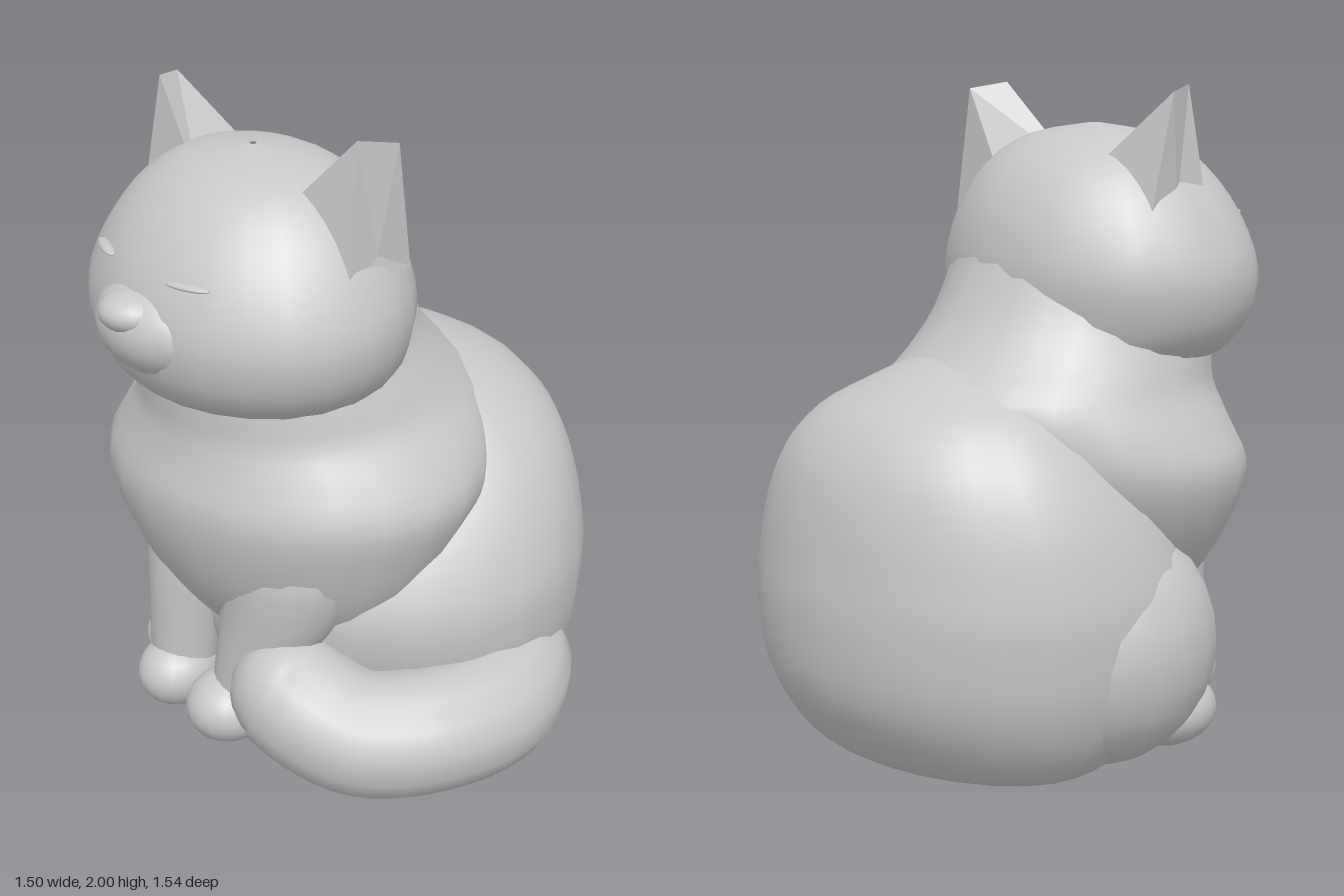
import * as THREE from 'three';

const fur = new THREE.MeshStandardMaterial({ color: 0xc8c8c8, side: THREE.DoubleSide });
fur.name = 'plain grey';

function add(parent, name, geometry, x = 0, y = 0, z = 0) {
  const mesh = new THREE.Mesh(geometry, fur);
  mesh.name = name;
  mesh.position.set(x, y, z);
  parent.add(mesh);
  return mesh;
}

// Smooth skin over elliptical rings given as [y, centreX, centreZ, halfWidth, halfDepth]
function loft(rings, seg = 24, steps = 3) {
  const at = (i) => rings[Math.min(Math.max(i, 0), rings.length - 1)];
  const rows = [];
  for (let i = 0; i < rings.length - 1; i++) {
    for (let s = 0; s < steps; s++) {
      const t = s / steps;
      rows.push(at(i).map((p1, k) => {
        const p0 = at(i - 1)[k], p2 = at(i + 1)[k], p3 = at(i + 2)[k];
        return p1 + 0.5 * t * (p2 - p0 + t * (2 * p0 - 5 * p1 + 4 * p2 - p3 + t * (3 * (p1 - p2) + p3 - p0)));
      }));
    }
  }
  rows.push(at(rings.length));
  const pos = [], index = [];
  rows.forEach(([y, cx, cz, a, b], i) => {
    for (let j = 0; j < seg; j++) {
      const t = (j / seg) * Math.PI * 2;
      pos.push(cx + Math.cos(t) * a, y, cz + Math.sin(t) * b);
      if (i === rows.length - 1) continue;
      const p = i * seg + j, q = i * seg + (j + 1) % seg;
      index.push(p, p + seg, q, q, p + seg, q + seg);
    }
  });
  const g = new THREE.BufferGeometry();
  g.setAttribute('position', new THREE.Float32BufferAttribute(pos, 3));
  g.setIndex(index);
  g.computeVertexNormals();
  return g;
}

function ellipsoid(a, b, c) {
  return new THREE.SphereGeometry(1, 20, 14).scale(a, b, c);
}

// Upright ear wedge with a shallow hollow on its outer side
function ear(side) {
  const p = {
    inF: [0.16, 1.74, 0.1], inB: [0.2, 1.74, -0.18],
    outF: [0.43, 1.6, 0.09], outB: [0.43, 1.6, -0.15],
    tipF: [0.4, 2.0, 0.03], tipB: [0.45, 1.98, -0.08],
    pit: [0.42, 1.66, -0.03],
  };
  const faces = [
    'inF outF tipF', 'inB tipB outB', 'inF tipF tipB', 'inF tipB inB',
    'outF pit tipF', 'tipF pit tipB', 'tipB pit outB', 'outB pit outF',
  ];
  const pos = [];
  for (const f of faces) {
    const names = f.split(' ');
    if (side < 0) names.reverse();
    for (const n of names) pos.push(p[n][0] * side, p[n][1], p[n][2]);
  }
  const g = new THREE.BufferGeometry();
  g.setAttribute('position', new THREE.Float32BufferAttribute(pos, 3));
  g.computeVertexNormals();
  return g;
}

export function createModel() {
  const root = new THREE.Group();
  root.name = 'sittingCat';

  // The seated body looks diagonally across the front
  const cat = new THREE.Group();
  cat.name = 'catBody';
  cat.rotation.y = -Math.PI / 4;
  root.add(cat);

  // Round hips, leaning backwards towards the top, belly rising at the front
  add(cat, 'hips', loft([
    [0.0, 0, -0.27, 0.01, 0.01], [0.015, 0, -0.26, 0.4, 0.23],
    [0.1, 0, -0.21, 0.56, 0.42], [0.28, 0, -0.18, 0.66, 0.57],
    [0.5, 0, -0.17, 0.69, 0.61], [0.65, 0, -0.19, 0.67, 0.58],
    [0.8, 0, -0.23, 0.62, 0.52], [0.94, 0, -0.27, 0.54, 0.44],
    [1.06, -0.01, -0.27, 0.43, 0.36], [1.14, -0.03, -0.23, 0.32, 0.28],
    [1.22, -0.05, -0.15, 0.2, 0.2],
  ]));
  add(cat, 'rightHaunch', ellipsoid(0.31, 0.36, 0.37), -0.43, 0.4, -0.08);

  // Chest and shoulders, running up into the neck
  add(cat, 'chest', loft([
    [0.34, -0.06, 0.24, 0.01, 0.01], [0.38, -0.06, 0.24, 0.22, 0.14],
    [0.47, -0.06, 0.22, 0.36, 0.25], [0.6, -0.07, 0.18, 0.48, 0.37],
    [0.76, -0.08, 0.14, 0.57, 0.47], [0.9, -0.08, 0.11, 0.61, 0.52],
    [1.02, -0.08, 0.07, 0.56, 0.53], [1.12, -0.09, 0.06, 0.49, 0.52],
    [1.22, -0.1, 0.11, 0.45, 0.47], [1.34, -0.11, 0.15, 0.41, 0.42],
    [1.5, -0.12, 0.19, 0.4, 0.38],
  ]));

  // Front legs and paws
  add(cat, 'rightFrontLeg', loft([
    [0.14, -0.31, 0.41, 0.1, 0.1], [0.35, -0.3, 0.4, 0.11, 0.11],
    [0.55, -0.29, 0.38, 0.13, 0.13], [0.8, -0.28, 0.34, 0.17, 0.15],
  ], 18));
  add(cat, 'leftFrontLeg', loft([
    [0.14, -0.03, 0.45, 0.1, 0.1], [0.3, 0.0, 0.43, 0.12, 0.12],
    [0.5, 0.07, 0.39, 0.19, 0.16], [0.7, 0.1, 0.36, 0.24, 0.19],
    [0.85, 0.1, 0.3, 0.24, 0.2],
  ], 18));
  add(cat, 'rightFrontPaw', ellipsoid(0.12, 0.11, 0.14), -0.3, 0.18, 0.44);
  add(cat, 'leftFrontPaw', ellipsoid(0.13, 0.11, 0.14), -0.05, 0.18, 0.49);
  add(cat, 'hindPaw', ellipsoid(0.14, 0.11, 0.17), -0.46, 0.14, 0.19);

  // Head, turned slightly to its right
  const head = new THREE.Group();
  head.name = 'head';
  head.position.set(-0.14, 0, 0.24);
  head.rotation.y = -0.21;
  cat.add(head);
  add(head, 'skull', loft([
    [1.17, 0, -0.04, 0.3, 0.26], [1.22, 0, -0.02, 0.42, 0.37],
    [1.32, 0, 0, 0.5, 0.42], [1.46, 0, 0, 0.525, 0.44],
    [1.62, 0, -0.01, 0.465, 0.4], [1.76, 0, -0.02, 0.36, 0.31],
    [1.85, 0, -0.02, 0.22, 0.18], [1.885, 0, -0.02, 0.01, 0.01],
  ]));
  add(head, 'muzzle', ellipsoid(0.22, 0.15, 0.18), 0, 1.44, 0.31);
  add(head, 'nose', ellipsoid(0.1, 0.06, 0.1), 0, 1.5, 0.41);

  const ears = new THREE.Group();
  ears.name = 'ears';
  ears.position.set(-0.11, 0, 0.21);
  ears.rotation.y = -0.13;
  cat.add(ears);
  for (const side of [1, -1]) {
    const label = side > 0 ? 'left' : 'right';
    add(ears, label + 'Ear', ear(side));
    // Closed eyelid
    const lid = add(head, label + 'Eyelid', ellipsoid(0.07, 0.01, 0.02), side * 0.19, 1.615, 0.36);
    lid.rotation.y = side * 0.38;
  }

  // Tail curling round the left side to the front paws
  const path = new THREE.CatmullRomCurve3([
    [0.36, 0.26, -0.05], [0.5, 0.23, 0.22], [0.41, 0.22, 0.46], [0.2, 0.215, 0.57],
    [-0.02, 0.22, 0.57], [-0.16, 0.28, 0.51], [-0.21, 0.31, 0.46],
  ].map((p) => new THREE.Vector3(...p)));
  add(root, 'tail', new THREE.TubeGeometry(path, 36, 0.19, 14, false));
  add(root, 'tailTip', ellipsoid(0.18, 0.18, 0.18), -0.21, 0.31, 0.46);

  return root;
}
